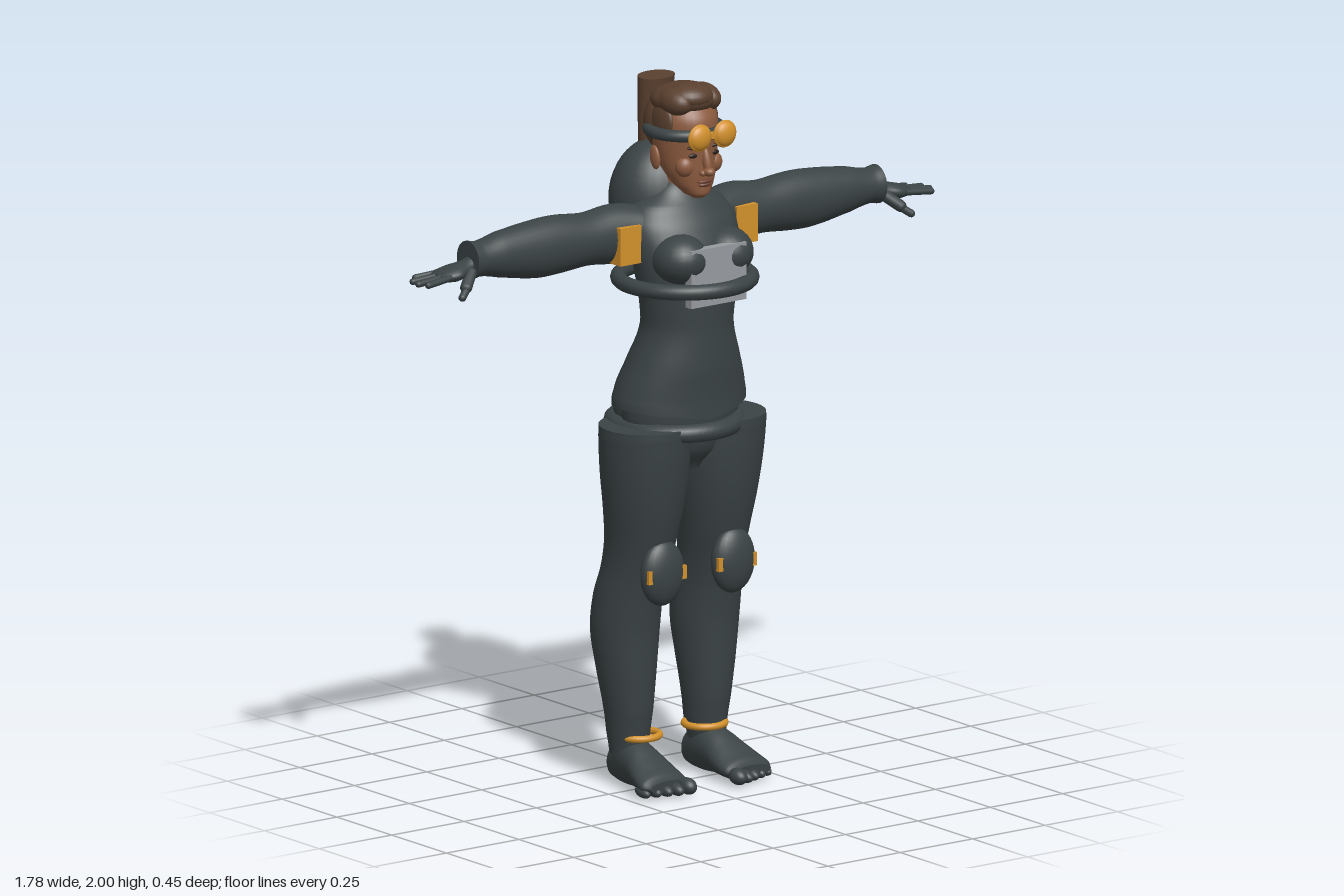
import * as THREE from 'three';

const paint = (name, color) => Object.assign(new THREE.MeshStandardMaterial({ color }), { name });

// Smooth body through cross-sections [t, u0, u1, v0, v1] along an axis (0 x, 1 y, 2 z).
// The u and v axes follow in cyclic order: x -> y,z   y -> z,x   z -> x,y.
function loft(axis, sections, seg = 32, steps = 5) {
  const pos = [], idx = [], rings = [];
  const n = sections.length;
  const at = (i) => sections[Math.max(0, Math.min(n - 1, i))];
  for (let i = 0; i < n - 1; i++) {
    for (let k = 0; k < steps; k++) {
      const f = k / steps;
      rings.push(at(i).map((b, c) => {
        const a = at(i - 1)[c], d = at(i + 1)[c], e = at(i + 2)[c];
        if (c === 0) return b + (d - b) * f;
        return b + 0.5 * f * (d - a + f * (2 * a - 5 * b + 4 * d - e + f * (3 * (b - d) + e - a)));
      }));
    }
  }
  rings.push(at(n - 1));
  const put = (t, u, v) => {
    const p = [0, 0, 0];
    p[axis] = t; p[(axis + 1) % 3] = u; p[(axis + 2) % 3] = v;
    pos.push(...p);
  };
  const ring = ([t, u0, u1, v0, v1]) => {
    for (let j = 0; j < seg; j++) {
      const a = (j / seg) * Math.PI * 2;
      put(t, (u0 + u1) / 2 + ((u1 - u0) / 2) * Math.cos(a), (v0 + v1) / 2 + ((v1 - v0) / 2) * Math.sin(a));
    }
  };
  rings.forEach(ring);
  for (let i = 0; i < rings.length - 1; i++) {
    for (let j = 0; j < seg; j++) {
      const a = i * seg + j, c = i * seg + (j + 1) % seg;
      idx.push(a, c, a + seg, c, c + seg, a + seg);
    }
  }
  // Flat end caps with their own vertices
  [rings[0], rings[rings.length - 1]].forEach((r, end) => {
    const base = pos.length / 3;
    ring(r);
    put(r[0], (r[1] + r[2]) / 2, (r[3] + r[4]) / 2);
    for (let j = 0; j < seg; j++) {
      const a = base + j, b = base + (j + 1) % seg;
      idx.push(base + seg, ...(end ? [a, b] : [b, a]));
    }
  });
  const g = new THREE.BufferGeometry();
  g.setAttribute('position', new THREE.Float32BufferAttribute(pos, 3));
  g.setIndex(idx);
  g.computeVertexNormals();
  return g;
}

const sym = (rows) => rows.map(([y, z0, z1, w]) => [y, z0, z1, -w, w]);

const blob = (x, y, z, rx, ry, rz, tilt = 0, roll = 0, seg = 24) =>
  new THREE.SphereGeometry(1, seg, Math.ceil(seg * 0.67)).scale(rx, ry, rz).rotateX(tilt).rotateZ(roll).translate(x, y, z);

const box = (x0, x1, y0, y1, z0, z1) =>
  new THREE.BoxGeometry(x1 - x0, y1 - y0, z1 - z0).translate((x0 + x1) / 2, (y0 + y1) / 2, (z0 + z1) / 2);

// Level ring around the y axis
const hoop = (x, y, z, rx, rz, tube) =>
  new THREE.TorusGeometry(1, tube / rx, 12, 56).rotateX(Math.PI / 2).scale(rx, rx, rz).translate(x, y, z);

function limb(a, b, r) {
  const p = new THREE.Vector3(...a), q = new THREE.Vector3(...b), d = q.clone().sub(p);
  const turn = new THREE.Quaternion().setFromUnitVectors(new THREE.Vector3(0, 1, 0), d.clone().normalize());
  return new THREE.CapsuleGeometry(r, d.length(), 5, 12).applyQuaternion(turn)
    .translate((p.x + q.x) / 2, (p.y + q.y) / 2, (p.z + q.z) / 2);
}

function mirrored(geometry) {
  const g = geometry.clone().scale(-1, 1, 1);
  const ix = g.index.array;
  for (let i = 0; i < ix.length; i += 3) [ix[i + 1], ix[i + 2]] = [ix[i + 2], ix[i + 1]];
  return g;
}

export function createModel() {
  const suit = paint('charcoal suit', 0x3b4345);
  const skin = paint('brown skin', 0x8c5b3f);
  const lip = paint('dark lip', 0x6d3f30);
  const hair = paint('brown hair', 0x5a402f);
  const dark = paint('dark eye', 0x2a1d17);
  const amber = paint('amber', 0xd3912c);
  const steel = paint('light grey', 0x979aa0);

  const model = new THREE.Group();
  const add = (name, geometry, material) => {
    const m = new THREE.Mesh(geometry, material);
    m.name = name;
    model.add(m);
  };
  const pair = (name, geometry, material) => {
    add('left ' + name, geometry, material);
    add('right ' + name, mirrored(geometry), material);
  };

  // Torso with a hem that dips towards the middle
  const torso = loft(1, sym([
    [1.085, -0.155, 0.135, 0.205], [1.12, -0.155, 0.135, 0.2], [1.2, -0.128, 0.14, 0.173],
    [1.3, -0.09, 0.138, 0.14], [1.37, -0.083, 0.14, 0.143], [1.45, -0.085, 0.14, 0.158],
    [1.53, -0.095, 0.13, 0.17], [1.6, -0.105, 0.1, 0.17], [1.65, -0.1, 0.065, 0.14],
    [1.68, -0.08, 0.045, 0.085], [1.71, -0.06, 0.035, 0.055]]), 40);
  const tp = torso.attributes.position;
  for (let i = 0; i < tp.count; i++) {
    const fall = Math.max(0, 1 - (tp.getY(i) - 1.085) / 0.06);
    tp.setY(i, tp.getY(i) - 0.03 * fall * (1 - Math.abs(tp.getX(i)) / 0.205));
  }
  torso.computeVertexNormals();
  add('torso', torso, suit);
  pair('breast', blob(0.078, 1.515, 0.095, 0.078, 0.07, 0.086), suit);
  add('pelvis', loft(1, sym([[0.9, -0.07, 0.06, 0.06], [0.96, -0.12, 0.1, 0.14],
    [1.03, -0.13, 0.115, 0.175], [1.1, -0.135, 0.12, 0.18]])), suit);
  pair('buttock', blob(0.068, 1.065, -0.075, 0.09, 0.095, 0.085), suit);
  add('backpack', blob(0, 1.645, -0.1, 0.148, 0.168, 0.125, 0, 0, 32), suit);
  add('chest ring', hoop(0, 1.437, 0.017, 0.184, 0.184, 0.022), suit);
  add('hip ring', hoop(0, 1.022, -0.03, 0.17, 0.17, 0.026), suit);
  add('chest plate', box(-0.095, 0.095, 1.39, 1.553, 0.145, 0.172), steel);

  // Arms and shoulder plates
  pair('sleeve', loft(0, [
    [0.08, 1.51, 1.645, -0.1, 0.05], [0.2, 1.495, 1.662, -0.113, 0.028], [0.3, 1.503, 1.652, -0.11, 0.022],
    [0.4, 1.495, 1.66, -0.112, 0.02], [0.48, 1.495, 1.658, -0.108, 0.018], [0.6, 1.515, 1.645, -0.098, 0.012],
    [0.67, 1.53, 1.63, -0.09, 0.008], [0.705, 1.525, 1.635, -0.092, 0.01]]), suit);
  pair('shoulder plate', box(0.165, 0.237, 1.505, 1.612, -0.12, 0.037), amber);
  pair('palm', loft(0, [
    [0.68, 1.54, 1.6, -0.065, -0.015], [0.72, 1.537, 1.583, -0.07, -0.01],
    [0.76, 1.53, 1.575, -0.085, 0.003], [0.795, 1.532, 1.565, -0.087, -0.005],
    [0.81, 1.542, 1.556, -0.075, -0.015]], 20), suit);
  [[-0.077, -0.096, 0.845], [-0.055, -0.065, 0.877], [-0.033, -0.033, 0.882], [-0.012, -0.006, 0.868]]
    .forEach(([z0, z1, tip], i) =>
      pair('finger ' + (i + 1), limb([0.785, 1.549, z0], [tip, 1.541, z1], 0.0095), suit));
  pair('thumb base', limb([0.715, 1.55, -0.015], [0.75, 1.52, 0.01], 0.017), suit);
  pair('thumb', limb([0.745, 1.52, 0.01], [0.775, 1.498, 0.026], 0.011), suit);

  // Legs, knee pads and ankle rings
  pair('leg', loft(1, [
    [0.09, -0.12, -0.005, 0.085, 0.185], [0.15, -0.13, 0, 0.075, 0.192], [0.22, -0.137, 0.01, 0.067, 0.202],
    [0.32, -0.155, 0.017, 0.055, 0.218], [0.44, -0.175, 0.025, 0.043, 0.232], [0.54, -0.163, 0.04, 0.043, 0.23],
    [0.62, -0.138, 0.06, 0.04, 0.222], [0.7, -0.125, 0.085, 0.03, 0.223], [0.8, -0.12, 0.108, 0.015, 0.237],
    [0.9, -0.124, 0.125, 0.004, 0.25], [1.0, -0.126, 0.136, 0.004, 0.256], [1.035, -0.126, 0.138, 0.006, 0.255]]), suit);
  pair('knee pad', blob(0.122, 0.625, 0.075, 0.071, 0.093, 0.038), suit);
  pair('knee buckle', box(0.056, 0.186, 0.604, 0.642, 0.075, 0.1), amber);
  pair('ankle ring', hoop(0.113, 0.14, -0.042, 0.057, 0.055, 0.01), amber);

  // Feet
  pair('foot', loft(2, [
    [-0.135, 0.115, 0.145, 0.03, 0.07], [-0.118, 0.09, 0.168, 0.008, 0.105], [-0.06, 0.08, 0.183, 0, 0.14],
    [0.0, 0.075, 0.195, 0.003, 0.125], [0.06, 0.066, 0.213, 0.003, 0.092], [0.11, 0.066, 0.222, 0.004, 0.066],
    [0.135, 0.08, 0.208, 0.015, 0.05]], 28), suit);
  for (let i = 0; i < 5; i++) {
    const r = i === 0 ? 0.023 : 0.018 - i * 0.0007;
    pair('toe ' + (i + 1), blob(0.089 + i * 0.03 - (i ? 0 : 0.002), r + 0.005, 0.145 - i * 0.011, r, r, 0.031, 0.15), suit);
  }

  // Head and face
  add('neck', loft(1, sym([[1.64, -0.06, 0.03, 0.055], [1.7, -0.055, 0.04, 0.05], [1.78, -0.05, 0.05, 0.05]])), skin);
  add('head', loft(1, sym([
    [1.677, 0.06, 0.095, 0.018], [1.688, 0.03, 0.108, 0.036], [1.715, -0.005, 0.11, 0.058],
    [1.755, -0.045, 0.113, 0.076], [1.8, -0.075, 0.114, 0.085], [1.85, -0.088, 0.116, 0.089],
    [1.9, -0.088, 0.112, 0.088], [1.94, -0.07, 0.085, 0.07], [1.965, -0.03, 0.04, 0.03]])), skin);
  add('nose bridge', blob(0, 1.785, 0.117, 0.012, 0.042, 0.013, -0.25), skin);
  add('nose tip', blob(0, 1.757, 0.126, 0.016, 0.013, 0.019), skin);
  pair('nostril', blob(0.014, 1.753, 0.117, 0.01, 0.009, 0.011), skin);
  pair('cheek', blob(0.048, 1.77, 0.08, 0.028, 0.03, 0.026), skin);
  pair('ear', blob(0.086, 1.785, -0.005, 0.01, 0.034, 0.02, -0.15), skin);
  pair('eye', blob(0.036, 1.803, 0.104, 0.016, 0.007, 0.006), dark);
  pair('eyebrow', blob(0.038, 1.825, 0.106, 0.022, 0.005, 0.007, 0, 0.12), dark);
  add('upper lip', blob(0, 1.727, 0.109, 0.026, 0.006, 0.01), lip);
  add('lower lip', blob(0, 1.717, 0.107, 0.021, 0.007, 0.01), lip);

  // Hair swept back into a tail
  add('hair back', blob(0, 1.875, -0.03, 0.093, 0.1, 0.075), hair);
  add('hair top', blob(0, 1.943, 0.01, 0.09, 0.047, 0.096, -0.06), hair);
  add('hair quiff', blob(-0.005, 1.958, 0.045, 0.068, 0.038, 0.064), hair);
  pair('hair lock', blob(0.05, 1.945, 0.035, 0.04, 0.04, 0.063, 0, 0.3), hair);
  pair('hair side', blob(0.075, 1.885, 0.015, 0.018, 0.055, 0.05), hair);
  add('hair tail', new THREE.CylinderGeometry(0.058, 0.045, 0.21, 28).scale(1, 1, 0.66)
    .rotateX(0.08).translate(0, 1.88, -0.122), hair);

  // Goggles on a headband
  add('headband', hoop(0, 1.86, 0.015, 0.099, 0.1, 0.017), suit);
  pair('goggle rim', new THREE.TorusGeometry(0.033, 0.006, 10, 28).translate(0.043, 1.862, 0.142), amber);
  pair('goggle lens', blob(0.043, 1.862, 0.142, 0.036, 0.036, 0.02), amber);
  add('goggle bridge', box(-0.015, 0.015, 1.854, 1.87, 0.125, 0.145), amber);

  return model;
}
